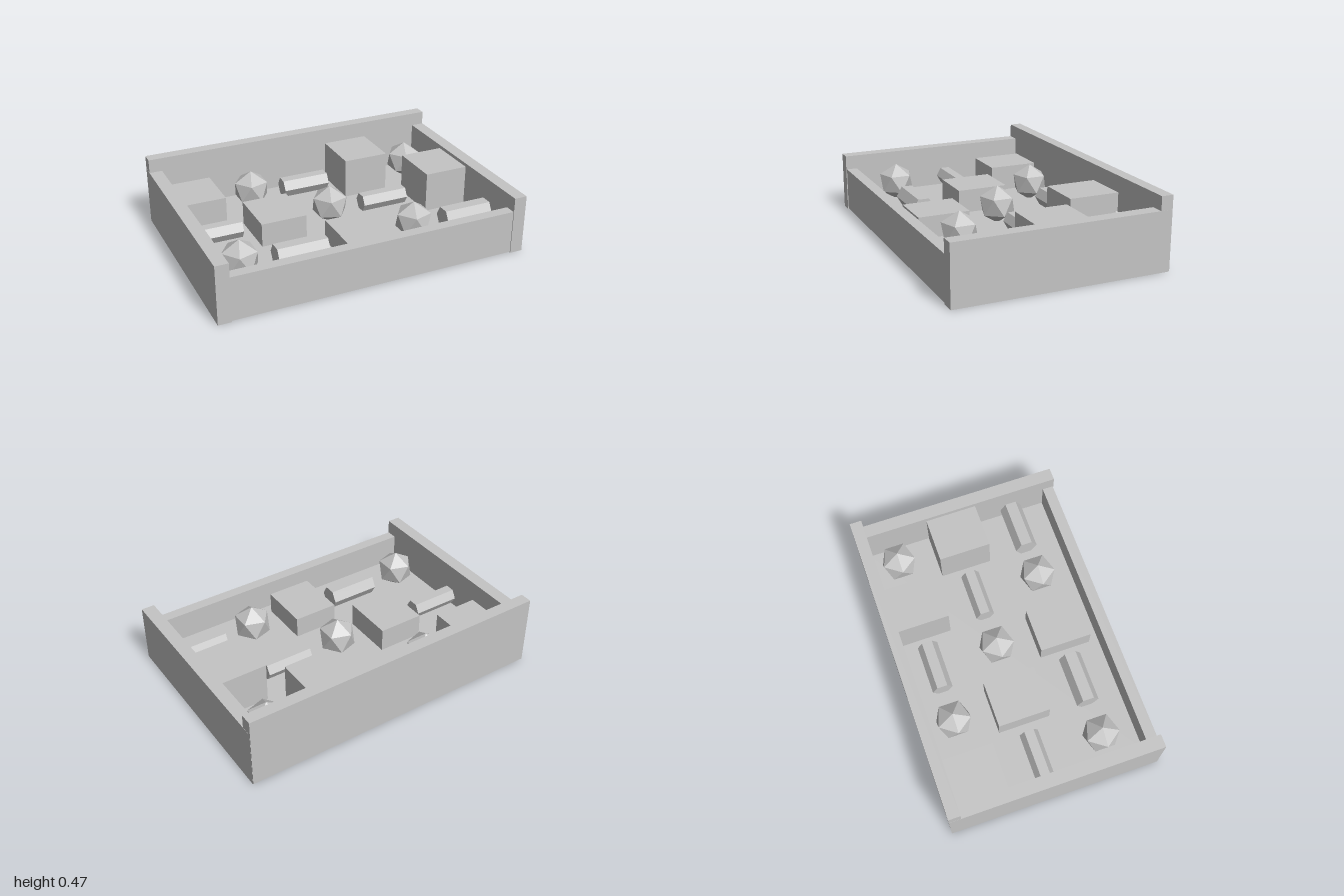
import * as THREE from 'three';

export function createModel() {
  const model = new THREE.Group();
  model.name = 'displayTray';
  const grey = new THREE.MeshStandardMaterial({ color: 0xc4c4c4 });
  grey.name = 'plain grey';
  grey.flatShading = true;

  const add = (name, geometry, x, y, z) => {
    const mesh = new THREE.Mesh(geometry, grey);
    mesh.name = name;
    mesh.position.set(x, y, z);
    model.add(mesh);
    return mesh;
  };

  // Box given by its lower and upper limits on each axis
  const block = (name, x0, x1, y0, y1, z0, z1) =>
    add(name, new THREE.BoxGeometry(x1 - x0, y1 - y0, z1 - z0),
      (x0 + x1) / 2, (y0 + y1) / 2, (z0 + z1) / 2);

  const floorTop = 0.1;

  // Tray: floor, low front, middle-height sides and tall back
  block('floor', -0.92, 0.92, 0.005, floorTop, -0.62, 0.61);
  block('frontWall', -0.92, 0.92, 0.005, 0.285, 0.605, 0.675);
  block('leftWall', 0.917, 1, 0, 0.377, -0.68, 0.68);
  block('rightWall', -1, -0.917, 0, 0.377, -0.68, 0.68);
  block('backWall', -0.999, 0.999, 0.003, 0.465, -0.684, -0.608);

  // Cubes: centre x, centre z, width, height of the top
  const cubes = [
    [-0.752, -0.445, 0.295, 0.267],
    [-0.372, -0.04, 0.295, 0.252],
    [0.007, 0.377, 0.287, 0.238],
    [0.385, -0.445, 0.3, 0.36],
    [0.765, -0.04, 0.29, 0.36],
  ];
  for (const [x, z, width, top] of cubes) {
    block('cube', x - width / 2, x + width / 2, floorTop - 0.01, top, z - 0.167, z + 0.167);
  }

  // Six-sided rods lying along x with a flat face up: centre x, centre z, length, radius
  const rods = [
    [0.005, -0.455, 0.315, 0.065],
    [-0.75, -0.04, 0.31, 0.06],
    [0.385, -0.04, 0.31, 0.06],
    [-0.372, 0.377, 0.325, 0.072],
    [0.758, 0.377, 0.318, 0.072],
  ];
  for (const [x, z, length, radius] of rods) {
    const geometry = new THREE.CylinderGeometry(radius, radius, length, 6);
    geometry.rotateZ(Math.PI / 2);
    add('rod', geometry, x, 0.17, z);
  }

  // Twenty-sided gems turned so one corner points straight up: centre x, centre z
  const gem = new THREE.IcosahedronGeometry(0.123, 0);
  gem.rotateX(-Math.atan((1 + Math.sqrt(5)) / 2));
  gem.rotateY(-Math.PI / 2);
  const gems = [[-0.37, -0.455], [0.767, -0.455], [0.007, -0.04], [-0.753, 0.375], [0.387, 0.375]];
  for (const [x, z] of gems) add('gem', gem, x, 0.208, z);

  return model;
}
